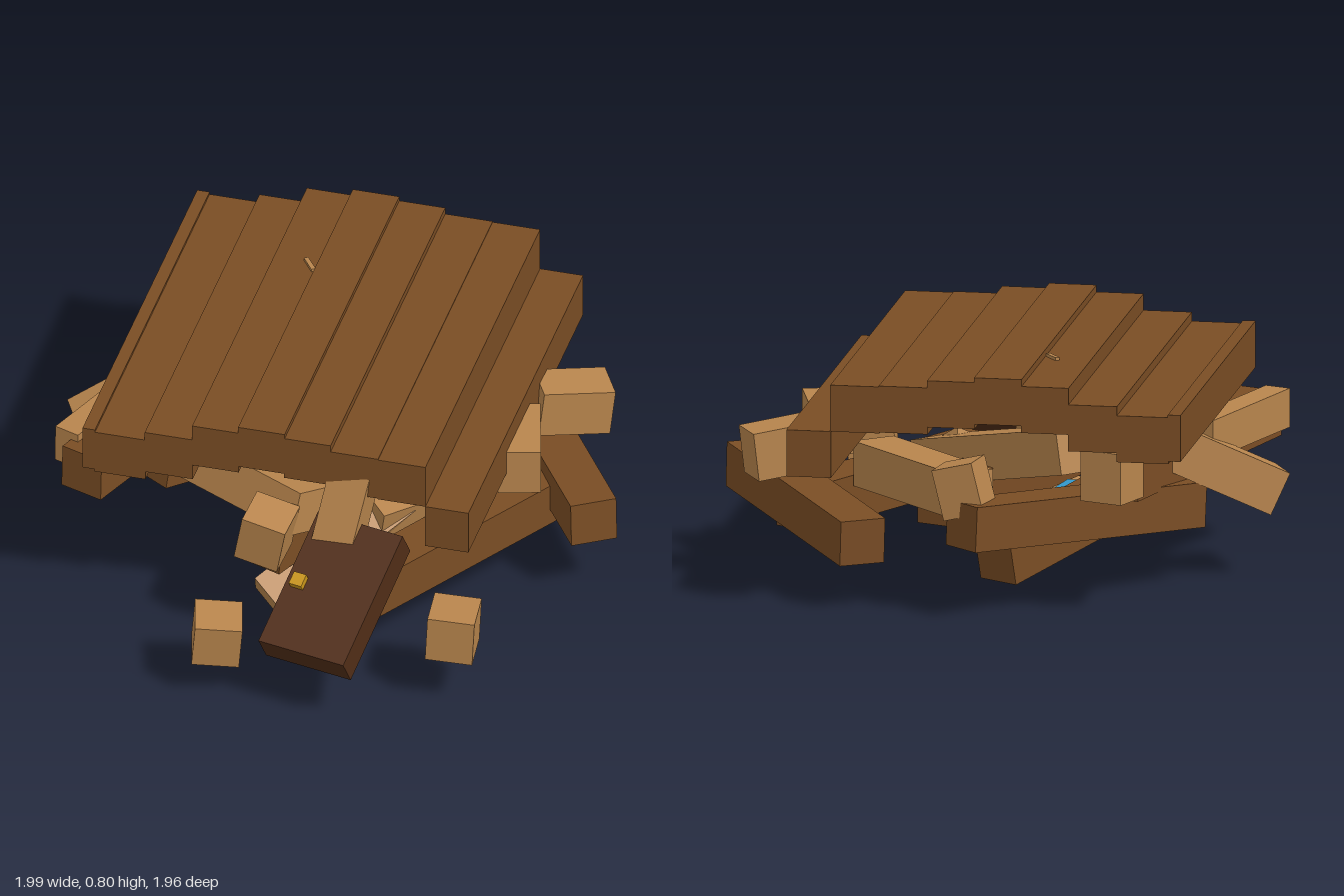
import * as THREE from 'three';

const mat = (color) => new THREE.MeshStandardMaterial({ color, flatShading: true });
const brown = mat(0x7a4d24), dark = mat(0x502d17), tan = mat(0xb8854d), gold = mat(0xc8951a), blue = mat(0x3399cc);

export function createModel() {
  const model = new THREE.Group();

  const box = (name, material, size, pos, rot = [0, 0, 0], parent = model) => {
    const mesh = new THREE.Mesh(new THREE.BoxGeometry(...size), material);
    mesh.name = name;
    mesh.position.set(...pos);
    mesh.rotation.set(...rot, 'YXZ');
    parent.add(mesh);
    return mesh;
  };

  // A box whose centre line runs from a to b
  const beam = (name, material, a, b, w = 0.155, h = 0.15, roll = 0) => {
    const start = new THREE.Vector3(...a), end = new THREE.Vector3(...b);
    const mesh = box(name, material, [w, h, start.distanceTo(end)], [0, 0, 0]);
    mesh.position.copy(start).add(end).multiplyScalar(0.5);
    mesh.lookAt(end);
    mesh.rotateZ(roll);
    return mesh;
  };

  // Fallen roof: stepped planks from front to back, the last one a narrow strip
  const roof = new THREE.Group();
  roof.name = 'roof';
  roof.position.set(0.08, 0, -0.09);
  roof.rotation.y = 0.448;
  model.add(roof);
  const tops = [0.605, 0.76, 0.763, 0.787, 0.803, 0.78, 0.725, 0.695, 0.704];
  const edges = [0, 0.145, 0.305, 0.465, 0.62, 0.775, 0.93, 1.09, 1.26, 1.3];
  tops.forEach((top, i) => {
    box('roofPlank', brown, [1.41, 0.155, edges[i + 1] - edges[i] + 0.002],
      [0, top - 0.0775, 0.65 - (edges[i] + edges[i + 1]) / 2], [0, 0, 0], roof);
  });
  box('roofSplinter', tan, [0.015, 0.03, 0.07], [0.265, 0.775, -0.35], [0, -0.5, 0]);

  // Door leaning on the heap, with its knob
  const door = beam('door', dark, [-0.83, 0.213, 0.58], [-0.42, 0.465, 0.48], 0.31, 0.105);
  box('doorKnob', gold, [0.045, 0.035, 0.045], [0.11, 0.06, -0.01], [0, 0, 0], door);

  // Long structural beams under the roof
  beam('frontRightBeam', brown, [0.305, 0.285, 0.84], [0.825, 0.222, 0.01]);
  beam('frontBeam', brown, [0.48, 0.21, 0.53], [-0.45, 0.225, 0.46]);
  beam('rearBeam', brown, [0.53, 0.15, -0.31], [-0.43, 0.35, -0.42]);
  beam('backLeftBeam', brown, [-0.74, 0.435, -0.46], [0.2, 0.4, -0.56]);
  beam('rightBackBeam', brown, [0.76, 0.31, -0.34], [-0.16, 0.26, -0.6]);
  beam('crossBeam', brown, [-0.52, 0.29, 0.12], [0.35, 0.26, 0.05]);

  // Shorter pale timbers
  beam('lowTimber', tan, [-0.51, 0.088, 0.15], [-0.04, 0.32, 0.31], 0.15, 0.13, 0.6);
  beam('backTimber', tan, [-0.38, 0.28, -0.77], [-0.02, 0.5, -0.5], 0.16, 0.15);
  beam('backSlat', tan, [-0.7, 0.47, -0.56], [-0.2, 0.46, -0.61], 0.09, 0.13);
  beam('middleTimber', tan, [0.5, 0.35, -0.2], [0.22, 0.33, 0.4], 0.15, 0.15);
  beam('innerTimber', tan, [-0.1, 0.28, 0.38], [0.15, 0.46, -0.38], 0.18, 0.15);
  beam('leftTimber', tan, [-0.42, 0.44, 0.25], [-0.4, 0.44, -0.4], 0.15, 0.15, 0.3);

  // Loose blocks: size, position, rotation
  [
    [[0.155, 0.15, 0.155], [-0.885, 0.2, 0.25], [0.08, 0.72, 0.08]],
    [[0.155, 0.16, 0.155], [-0.42, 0.253, 0.865], [0.05, 0.56, 0]],
    [[0.24, 0.16, 0.15], [0.61, 0.44, 0.48], [0, -0.62, -0.12]],
    [[0.28, 0.16, 0.14], [0.28, 0.455, 0.54], [0, 0.72, 0]],
    [[0.12, 0.26, 0.14], [-0.44, 0.54, 0.42], [0.1, 0.3, -0.4]],
    [[0.15, 0.17, 0.15], [-0.58, 0.42, 0.2], [0.2, 0.4, 0.1]],
    [[0.15, 0.17, 0.15], [0.31, 0.44, -0.62], [0, 0.1, 0]],
    [[0.14, 0.17, 0.14], [0.69, 0.42, -0.3], [0.25, 0.3, 0]],
  ].forEach(([size, pos, rot]) => box('looseBlock', tan, size, pos, rot));

  // Scrap of blue cloth inside the heap
  box('blueScrap', blue, [0.16, 0.015, 0.18], [-0.1, 0.265, -0.22], [0.05, 0.3, 0]);

  return model;
}
